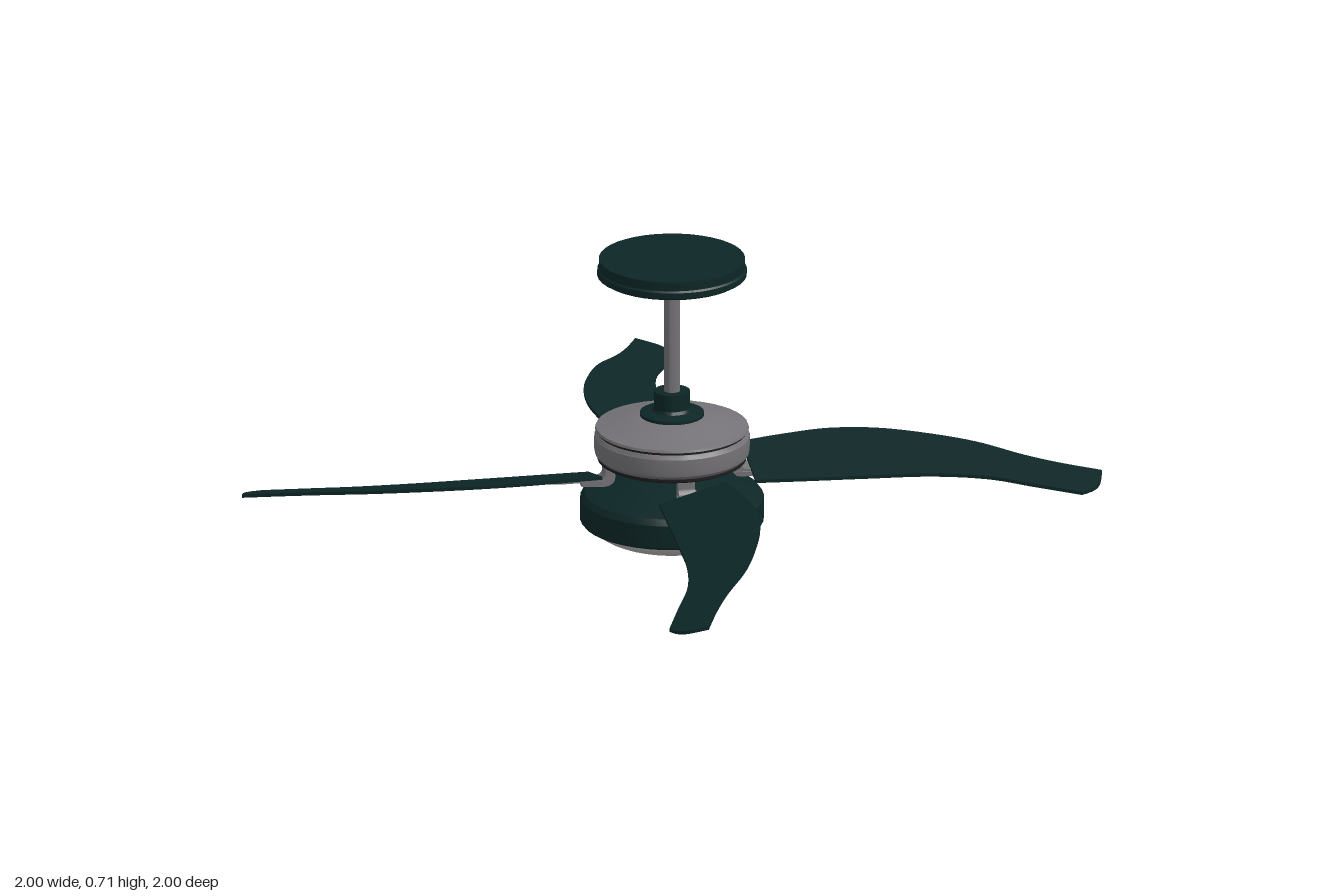
import * as THREE from 'three';
import { toCreasedNormals } from 'three/addons/utils/BufferGeometryUtils.js';

const mat = (name, color) => {
  const m = new THREE.MeshStandardMaterial({ color });
  m.name = name;
  return m;
};

export function createModel() {
  const fan = new THREE.Group();
  fan.name = 'ceilingFan';
  const teal = mat('dark teal', 0x0d2626);
  const metal = mat('grey metal', 0x757377);
  const black = mat('black trim', 0x1c1c1e);
  const glass = mat('frosted glass', 0xb4b6b4);

  const add = (parent, name, geometry, material) => {
    const mesh = new THREE.Mesh(geometry, material);
    mesh.name = name;
    parent.add(mesh);
    return mesh;
  };
  // Turned part; profile runs from bottom to top as [radius, y]
  const turned = (name, profile, material) => {
    const pts = profile.map(([r, y]) => new THREE.Vector2(r, y));
    return add(fan, name, toCreasedNormals(new THREE.LatheGeometry(pts, 40), 0.5), material);
  };

  // Ceiling mount and rod
  turned('canopy', [[0, 0.615], [0.028, 0.615], [0.038, 0.628], [0.04, 0.648], [0.06, 0.648],
    [0.165, 0.662], [0.175, 0.668], [0.175, 0.682], [0.171, 0.686], [0.171, 0.708], [0, 0.708]], teal);
  turned('downRod', [[0, 0.34], [0.019, 0.34], [0.019, 0.63], [0, 0.63]], metal);
  turned('rodCup', [[0, 0.31], [0.075, 0.31], [0.075, 0.327], [0.046, 0.333], [0.042, 0.34],
    [0.042, 0.38], [0, 0.38]], teal);

  // Motor housing
  turned('motorHousing', [[0, 0.216], [0.168, 0.216], [0.18, 0.228], [0.182, 0.24], [0.182, 0.27],
    [0.176, 0.28], [0.17, 0.281], [0.17, 0.287], [0.18, 0.287], [0.178, 0.293], [0.155, 0.298],
    [0.11, 0.313], [0.075, 0.32], [0, 0.32]], metal);
  turned('motorGroove', [[0.168, 0.28], [0.175, 0.28], [0.175, 0.288], [0.168, 0.288]], black);
  turned('motorLowerTrim', [[0, 0.208], [0.165, 0.208], [0.174, 0.213], [0.174, 0.219], [0, 0.219]], black);

  // Light kit: neck, shade and glass bowl
  turned('lightNeck', [[0.06, 0.165], [0.065, 0.18], [0.09, 0.197], [0.105, 0.212], [0, 0.212]], teal);
  turned('lightShade', [[0, 0.058], [0.21, 0.058], [0.215, 0.064], [0.215, 0.118], [0.205, 0.132],
    [0.16, 0.149], [0.115, 0.162], [0.075, 0.174], [0, 0.176]], teal);
  const bowl = [];
  for (let i = 0; i <= 12; i++) {
    const a = (i / 12) * Math.PI / 2;
    bowl.push([0.194 * Math.sin(a), 0.062 * (1 - Math.cos(a))]);
  }
  turned('glassBowl', bowl, glass);

  // Pitch a flat part: lower towards +z, keeping its plan outline
  const pitch = (geometry, y) => {
    const p = geometry.attributes.position;
    for (let i = 0; i < p.count; i++) p.setY(i, p.getY(i) + y - 0.27 * p.getZ(i));
    return toCreasedNormals(geometry, 0.5);
  };
  const slab = (shape, depth) => new THREE.ExtrudeGeometry(shape,
    { depth, bevelEnabled: false, curveSegments: 5 }).rotateX(-Math.PI / 2);

  // Curved blade outline (shape y is -z)
  const v = ([x, z]) => new THREE.Vector2(x, -z);
  const outline = new THREE.Shape();
  outline.moveTo(0.185, 0.088);
  outline.lineTo(0.185, -0.07);
  outline.splineThru([[0.3, 0.077], [0.45, 0.085], [0.6, 0.095], [0.73, 0.122], [0.83, 0.165], [0.935, 0.21]].map(v));
  outline.splineThru([[0.965, 0.197], [0.985, 0.175], [1.0, 0.13]].map(v));
  outline.splineThru([[0.91, 0.09], [0.83, 0.047], [0.73, -0.018], [0.62, -0.066], [0.51, -0.1],
    [0.4, -0.113], [0.3, -0.105], [0.185, -0.088]].map(v));
  const bladeGeo = pitch(slab(outline, 0.008), 0.179);

  // Bracket plate under the blade root
  const plate = new THREE.Shape([[0.15, 0.022], [0.27, 0.032], [0.29, 0.015],
    [0.29, -0.015], [0.27, -0.032], [0.15, -0.022]].map(v));
  const plateGeo = pitch(slab(plate, 0.01), 0.169);

  // Bent bracket arm from the motor down to the plate
  const arm = new THREE.Shape();
  arm.moveTo(0.14, 0.225);
  arm.lineTo(0.14, 0.18);
  arm.quadraticCurveTo(0.142, 0.162, 0.165, 0.16);
  arm.lineTo(0.22, 0.164);
  arm.lineTo(0.22, 0.178);
  arm.lineTo(0.175, 0.178);
  arm.quadraticCurveTo(0.163, 0.18, 0.163, 0.192);
  arm.lineTo(0.163, 0.225);
  const armGeo = toCreasedNormals(new THREE.ExtrudeGeometry(arm,
    { depth: 0.04, bevelEnabled: false, curveSegments: 6 }).translate(0, 0, -0.02), 0.6);

  for (let i = 0; i < 4; i++) {
    const unit = new THREE.Group();
    unit.name = 'bladeUnit' + (i + 1);
    unit.rotation.y = i * Math.PI / 2;
    add(unit, 'blade', bladeGeo, teal);
    add(unit, 'bracketPlate', plateGeo, metal);
    add(unit, 'bracketArm', armGeo, metal);
    fan.add(unit);
  }
  return fan;
}
